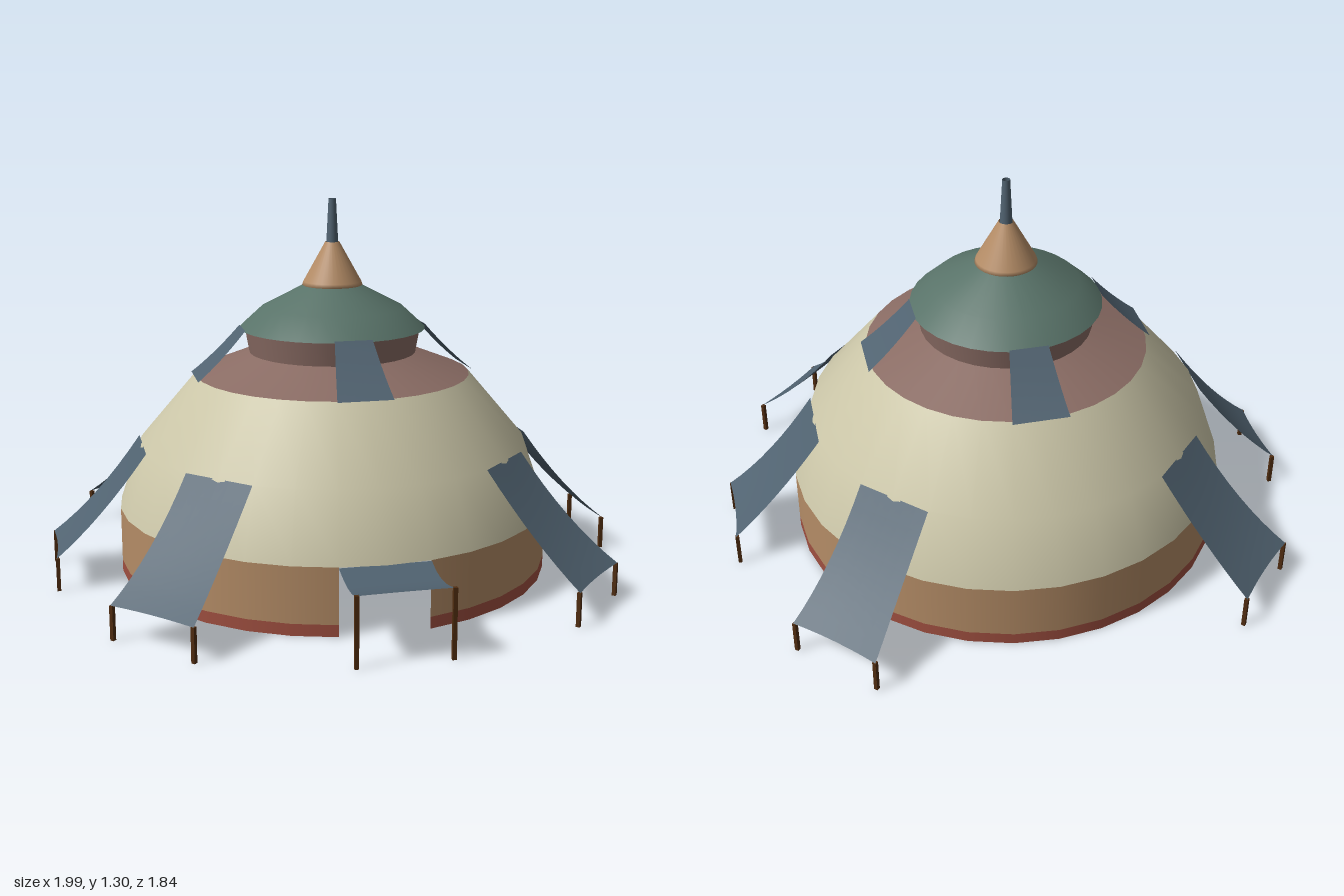
import * as THREE from 'three';

const mat = (name, color) => {
  const m = new THREE.MeshStandardMaterial({ color, side: THREE.DoubleSide });
  m.name = name;
  return m;
};

export function createModel() {
  const M = {
    cream: mat('cream canvas', 0xcbc6a8),
    tan: mat('tan canvas', 0xb48c66),
    red: mat('red trim', 0x9f4f40),
    brown: mat('brown canvas', 0x8a6c64),
    green: mat('green canvas', 0x587268),
    blue: mat('blue cloth', 0x506270),
    wood: mat('dark wood', 0x4f2c10),
  };
  const model = new THREE.Group();
  const tent = new THREE.Group();
  tent.name = 'tent';
  tent.position.z = -0.07;
  model.add(tent);

  const add = (name, geometry, material, parent = tent) => {
    const mesh = new THREE.Mesh(geometry, material);
    mesh.name = name;
    parent.add(mesh);
    return mesh;
  };

  // Open round shells; door leaves a two-segment gap at the front
  const shell = (name, points, material, door = false) => {
    const step = Math.PI / 16;
    const profile = points.map(([r, y]) => new THREE.Vector2(r, y));
    const g = door
      ? new THREE.LatheGeometry(profile, 30, step, 30 * step)
      : new THREE.LatheGeometry(profile, 32);
    return add(name, g, material);
  };
  shell('groundTrim', [[0.763, 0], [0.763, 0.04]], M.red, true);
  shell('wall', [[0.763, 0.04], [0.763, 0.23]], M.tan, true);
  shell('dome', [[0.763, 0.23], [0.685, 0.455], [0.485, 0.69]], M.cream);
  shell('upperRoof', [[0.485, 0.69], [0.295, 0.765]], M.brown);
  shell('collar', [[0.295, 0.765], [0.31, 0.85]], M.brown);
  shell('cap', [[0.328, 0.85], [0.25, 0.922], [0.1, 1.0]], M.green);
  shell('capCone', [[0.095, 0.992], [0.106, 1.0], [0.102, 1.012], [0.025, 1.15]], M.tan);
  shell('spire', [[0.021, 1.145], [0.013, 1.3]], M.blue);

  // Sagging cloth running outwards along local +z from the inner to the outer edge
  const cloth = ({ r0, y0, w0, r1, y1, w1, sag, pinch = 0 }) => {
    const g = new THREE.PlaneGeometry(2, 1, 6, 8);
    const p = g.attributes.position;
    for (let i = 0; i < p.count; i++) {
      const u = p.getX(i);
      const t = 0.5 - p.getY(i);
      const belly = 4 * t * (1 - t);
      const half = w0 + (w1 - w0) * t - pinch * belly;
      p.setXYZ(i,
        u * half,
        y0 + (y1 - y0) * t - sag * belly,
        r0 + (r1 - r0) * t - pinch * (1 - u * u) * t);
    }
    g.computeVertexNormals();
    return g;
  };

  const awning = (name, angle, spec) => {
    const group = new THREE.Group();
    group.name = name;
    group.rotation.y = angle;
    tent.add(group);
    add(name + 'Cloth', cloth(spec), M.blue, group);
    // Poles under the outer corners
    for (const side of [-1, 1]) {
      const pole = add(name + 'Pole', new THREE.BoxGeometry(0.013, spec.y1, 0.013), M.wood, group);
      pole.position.set(side * (spec.w1 - 0.004), spec.y1 / 2, spec.r1 - 0.004);
    }
  };

  // Six awnings around the dome
  for (const deg of [45, 90, 135, 225, 270, 315]) {
    const r1 = deg % 90 === 0 ? 0.994 : 1.03;
    const w1 = deg % 90 === 0 ? 0.153 : 0.163;
    awning('awning', THREE.MathUtils.degToRad(deg),
      { r0: 0.68, y0: 0.458, w0: 0.132, r1, y1: 0.115, w1, sag: 0.025, pinch: 0.008 });
  }
  awning('doorAwning', 0,
    { r0: 0.75, y0: 0.228, w0: 0.15, r1: 0.99, y1: 0.23, w1: 0.155, sag: 0.022, pinch: 0.003 });

  // Four strips from the cap to the upper roof
  for (let i = 0; i < 4; i++) {
    const strip = add('roofStrip',
      cloth({ r0: 0.322, y0: 0.857, w0: 0.065, r1: 0.492, y1: 0.69, w1: 0.095, sag: 0.008 }), M.blue);
    strip.rotation.y = i * Math.PI / 2;
  }
  return model;
}
